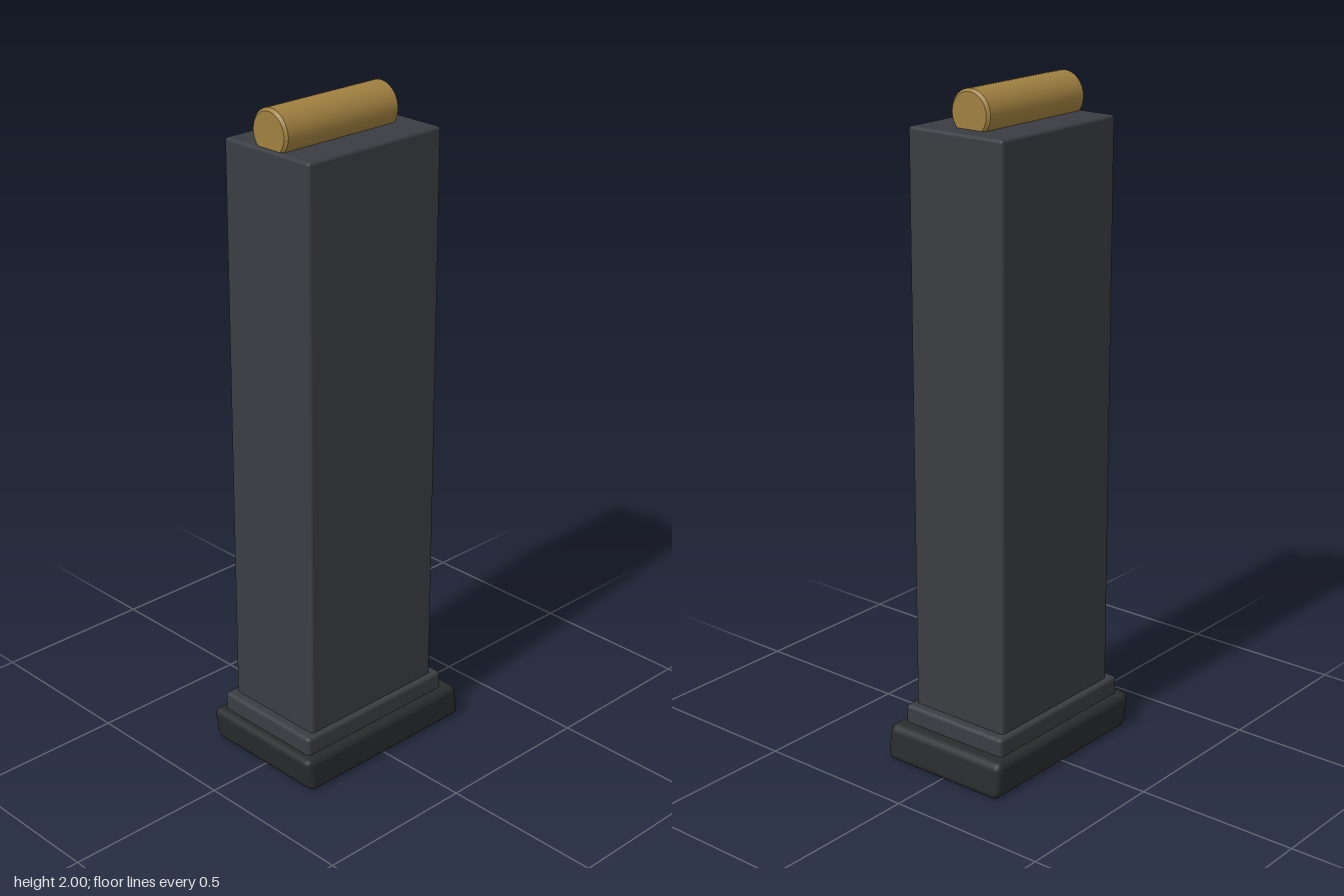
import * as THREE from 'three';
import { RoundedBoxGeometry } from 'three/addons/geometries/RoundedBoxGeometry.js';

const steel = new THREE.MeshStandardMaterial({ color: 0x3a3d42 });
const polymer = new THREE.MeshStandardMaterial({ color: 0x2a2b2c });
const brass = new THREE.MeshStandardMaterial({ color: 0xa08040 });

// Rounded box given by its width and its y and z ranges
function block(name, material, width, [y0, y1], [z0, z1], radius, lean = 0) {
  const geometry = new RoundedBoxGeometry(width, y1 - y0, z1 - z0, 2, radius);
  if (lean) {
    // Shear along z so the ends lean while top and bottom stay level
    geometry.applyMatrix4(new THREE.Matrix4().set(
      1, 0, 0, 0,
      0, 1, 0, 0,
      0, lean, 1, 0,
      0, 0, 0, 1));
  }
  const mesh = new THREE.Mesh(geometry, material);
  mesh.name = name;
  mesh.position.set(0, (y0 + y1) / 2, (z0 + z1) / 2);
  return mesh;
}

// Round lying along z, with a narrow bevel at each end
function makeRound() {
  const r = 0.068, bevel = 0.008, z0 = -0.171, z1 = 0.25;
  const rings = [[0, z0], [r - bevel, z0], [r, z0 + bevel], [r, z1 - bevel], [r - bevel, z1], [0, z1]];
  // Doubled points keep the flat ends and bevels crisp
  const points = rings.flatMap(([x, y], i) => {
    const p = new THREE.Vector2(x, y);
    return i > 0 && i < rings.length - 1 ? [p, p.clone()] : [p];
  });
  const geometry = new THREE.BufferGeometry();
  const parts = [];
  for (let i = 0; i < points.length; i += 2) {
    parts.push(new THREE.LatheGeometry([points[i], points[i + 1]], 32));
  }
  const position = [], normal = [];
  for (const part of parts) {
    const flat = part.toNonIndexed();
    position.push(...flat.attributes.position.array);
    normal.push(...flat.attributes.normal.array);
  }
  geometry.setAttribute('position', new THREE.Float32BufferAttribute(position, 3));
  geometry.setAttribute('normal', new THREE.Float32BufferAttribute(normal, 3));
  geometry.rotateX(Math.PI / 2);
  const mesh = new THREE.Mesh(geometry, brass);
  mesh.name = 'topRound';
  mesh.position.y = 2 - r;
  return mesh;
}

export function createModel() {
  const group = new THREE.Group();
  group.name = 'magazine';
  group.add(
    block('basePlate', polymer, 0.424, [0.005, 0.11], [-0.314, 0.314], 0.022, 0.16),
    block('collar', steel, 0.368, [0.09, 0.165], [-0.263, 0.292], 0.012),
    block('body', steel, 0.332, [0.13, 1.89], [-0.233, 0.261], 0.01),
    makeRound());
  // Rest the base plate on the ground
  group.children[0].position.y -= 0.005;
  group.children[0].scale.y = 1.05;
  group.children[0].position.y = 0.0551;
  return group;
}
